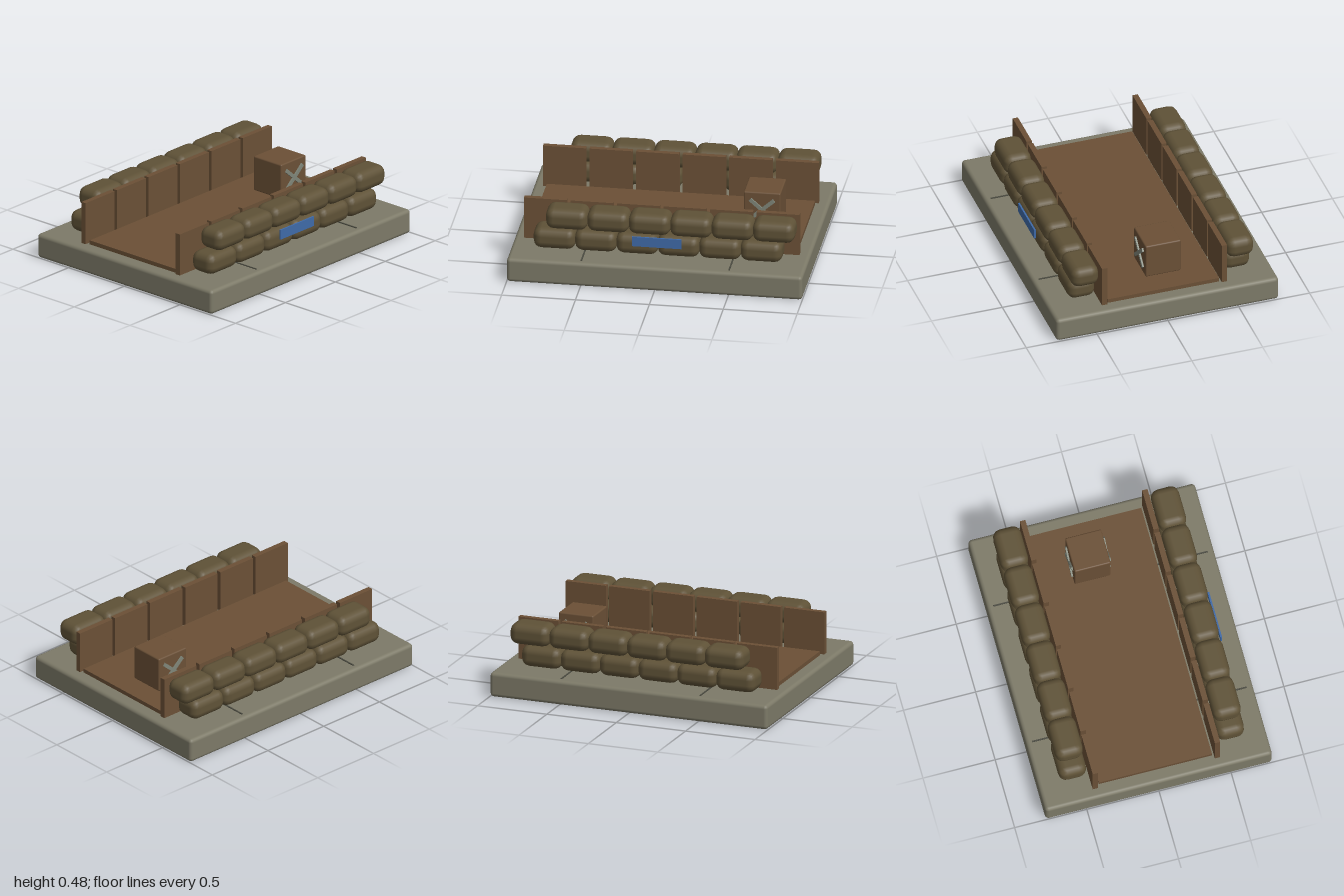
import * as THREE from 'three';
import { RoundedBoxGeometry } from 'three/addons/geometries/RoundedBoxGeometry.js';

const mat = (color) => new THREE.MeshStandardMaterial({ color });

export function createModel() {
  const model = new THREE.Group();
  const stone = mat(0x7d7a68);
  const wood = mat(0x6b5036);
  const cloth = mat(0x5f5237);
  const seam = mat(0x4a4a40);
  const steel = mat(0x7f8578);
  const blue = mat(0x3f6aa8);

  const add = (parent, name, geometry, material, x, y, z) => {
    const mesh = new THREE.Mesh(geometry, material);
    mesh.name = name;
    mesh.position.set(x, y, z);
    parent.add(mesh);
    return mesh;
  };
  const box = (w, h, d) => new THREE.BoxGeometry(w, h, d);

  // Ground slab with two thin seams
  add(model, 'baseSlab', new RoundedBoxGeometry(2, 0.17, 1.57, 2, 0.025), stone, 0, 0.085, 0);
  for (const x of [-0.5, 0.5]) add(model, 'slabSeam', box(0.01, 0.01, 1.485), seam, x, 0.17, 0);

  // Wooden floor
  add(model, 'floor', box(1.815, 0.03, 0.785), wood, 0, 0.183, 0);

  // Plank walls backed by two staggered rows of sandbags, on both long sides
  const plank = box(0.29, 0.295, 0.037);
  const bag = new RoundedBoxGeometry(0.285, 0.146, 0.192, 2, 0.055);
  for (const side of [1, -1]) {
    const wall = new THREE.Group();
    wall.name = side > 0 ? 'frontWall' : 'backWall';
    model.add(wall);
    for (let i = 0; i < 6; i++) {
      add(wall, 'plank', plank, wood, -0.79 + i * 0.315, 0.323, side * 0.423);
      add(wall, 'lowerSandbag', bag, cloth, -0.703 + i * 0.28, 0.26, side * 0.547);
      add(wall, 'upperSandbag', bag, cloth, -0.62 + i * 0.28, 0.406, side * 0.547);
    }
  }

  // Blue plate on the front sandbags
  add(model, 'bluePlate', box(0.335, 0.068, 0.012), blue, -0.003, 0.299, 0.656);

  // Crate with crossed braces on its front and back
  const crate = new THREE.Group();
  crate.name = 'crate';
  crate.position.set(0.62, 0.323, -0.055);
  model.add(crate);
  add(crate, 'crateBody', new RoundedBoxGeometry(0.25, 0.246, 0.25, 2, 0.01), wood, 0, 0, 0);
  const brace = box(0.215, 0.025, 0.014);
  for (const side of [1, -1]) {
    for (const tilt of [1, -1]) {
      add(crate, 'brace', brace, steel, 0, 0, side * 0.13).rotation.z = tilt * 0.72;
    }
  }
  return model;
}
